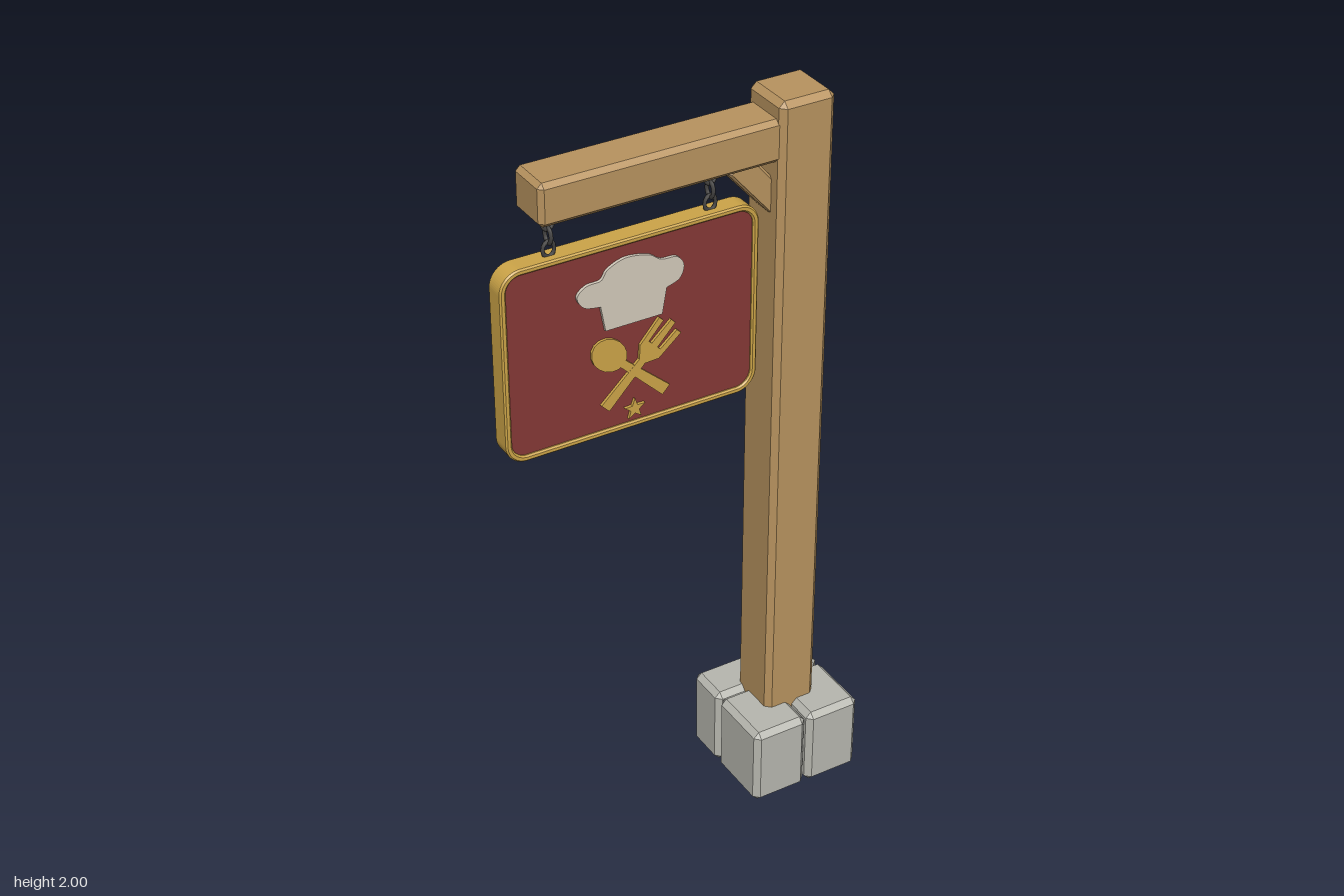
import * as THREE from 'three';
import { ConvexGeometry } from 'three/addons/geometries/ConvexGeometry.js';

const material = (name, color) => {
  const m = new THREE.MeshStandardMaterial({ color });
  m.name = name;
  return m;
};

// Box given by its limits, with every edge cut at 45 degrees
function chamferBox([x0, x1], [y0, y1], [z0, z1], c) {
  const points = [];
  for (const sx of [0, 1]) for (const sy of [0, 1]) for (const sz of [0, 1]) {
    for (let axis = 0; axis < 3; axis++) {
      const inset = (a, b, s, i) => (s ? b - (i === axis ? 0 : c) : a + (i === axis ? 0 : c));
      points.push(new THREE.Vector3(inset(x0, x1, sx, 0), inset(y0, y1, sy, 1), inset(z0, z1, sz, 2)));
    }
  }
  return new ConvexGeometry(points);
}

// Traces a rounded rectangle on a Shape or Path
function roundedRect(path, x0, x1, y0, y1, r) {
  path.absarc(x1 - r, y0 + r, r, -Math.PI / 2, 0);
  path.absarc(x1 - r, y1 - r, r, 0, Math.PI / 2);
  path.absarc(x0 + r, y1 - r, r, Math.PI / 2, Math.PI);
  path.absarc(x0 + r, y0 + r, r, Math.PI, Math.PI * 1.5);
  path.closePath();
  return path;
}

function plate(shape, z0, z1, bevel = 0) {
  const geometry = new THREE.ExtrudeGeometry(shape, {
    depth: z1 - z0 - 2 * bevel, curveSegments: 8, bevelEnabled: bevel > 0,
    bevelThickness: bevel, bevelSize: bevel, bevelOffset: -bevel, bevelSegments: 1,
  });
  return geometry.translate(0, 0, z0 + bevel);
}

const polygon = (points) => new THREE.Shape(points.map(([x, y]) => new THREE.Vector2(x, y)));

export function createModel() {
  const wood = material('wood', 0xb8935f);
  const stone = material('stone', 0xb7b7af);
  const red = material('red panel', 0x853836);
  const gold = material('gold', 0xcda548);
  const cream = material('cream', 0xd3cabb);
  const iron = material('dark iron', 0x454443);

  const model = new THREE.Group();
  model.name = 'hangingSign';
  const add = (name, geometry, mat, parent = model) => {
    const mesh = new THREE.Mesh(geometry, mat);
    mesh.name = name;
    parent.add(mesh);
    return mesh;
  };

  // Stone footing: one wide block behind, two in front
  add('backStone', chamferBox([0.15, 0.47], [0, 0.23], [-0.16, -0.035], 0.015), stone);
  add('frontRightStone', chamferBox([0.15, 0.307], [0, 0.23], [-0.031, 0.16], 0.015), stone);
  add('frontLeftStone', chamferBox([0.313, 0.47], [0, 0.23], [-0.031, 0.16], 0.015), stone);

  // Timber post, arm and diagonal brace
  add('post', chamferBox([0.235, 0.385], [0.1, 2], [-0.075, 0.075], 0.015), wood);
  add('arm', chamferBox([-0.385, 0.26], [1.845, 1.955], [-0.062, 0.062], 0.012), wood);
  const brace = polygon([[0.12, 1.832], [0.245, 1.692], [0.245, 1.79], [0.195, 1.85], [0.136, 1.85]]);
  add('brace', plate(brace, -0.035, 0.035, 0.006), wood);

  // Chains of three links, alternately turned
  for (const [i, x] of [-0.335, 0.09].entries()) {
    const chain = new THREE.Group();
    chain.name = i ? 'leftChain' : 'rightChain';
    model.add(chain);
    for (let k = 0; k < 3; k++) {
      const link = add('link', new THREE.TorusGeometry(0.015, 0.005, 6, 14), iron, chain);
      link.scale.y = 1.3;
      link.position.set(x, 1.826 - k * 0.035, 0);
      link.rotation.y = k % 2 ? Math.PI / 2 : 0;
    }
  }

  // Sign board: gold rim around a slightly sunken panel
  const rim = roundedRect(new THREE.Shape(), -0.475, 0.21, 1.225, 1.74, 0.055);
  rim.holes.push(roundedRect(new THREE.Path(), -0.459, 0.194, 1.241, 1.724, 0.04));
  add('signRim', plate(rim, -0.029, 0.027, 0.004), gold);
  const panel = roundedRect(new THREE.Shape(), -0.466, 0.201, 1.234, 1.731, 0.046);
  add('signPanel', plate(panel, -0.022, 0.02), red);

  // Chef hat: tapered band under a puffy crown
  const hat = new THREE.Shape();
  hat.moveTo(-0.207, 1.515);
  hat.lineTo(-0.055, 1.515);
  hat.lineTo(-0.043, 1.583);
  hat.splineThru([[-0.008, 1.597], [0.004, 1.63], [-0.015, 1.657], [-0.057, 1.662],
    [-0.09, 1.683], [-0.15, 1.693], [-0.198, 1.676], [-0.217, 1.652], [-0.255, 1.648],
    [-0.28, 1.625], [-0.262, 1.593], [-0.219, 1.583]].map(([x, y]) => new THREE.Vector2(x, y)));
  hat.closePath();
  add('chefHat', plate(hat, 0.019, 0.028), cream);

  // Crossed spoon and fork, drawn upright from the handle end
  const cutlery = (name, shapes, x, y, angle, z) => {
    const group = new THREE.Group();
    group.name = name;
    group.position.set(x, y, z);
    group.rotation.z = angle;
    model.add(group);
    shapes.forEach(([part, shape]) => add(part, plate(shape, 0, 0.008), gold, group));
  };
  const bowl = new THREE.Shape();
  bowl.absellipse(0, 0.209, 0.041, 0.053, 0, Math.PI * 2);
  const handle = polygon([[-0.015, 0], [0.015, 0], [0.01, 0.17], [-0.01, 0.17]]);
  const forkHead = polygon([[-0.009, 0.14], [0.009, 0.14], [0.036, 0.17], [0.042, 0.25], [0.026, 0.25],
    [0.022, 0.19], [0.011, 0.19], [0.008, 0.262], [-0.008, 0.262], [-0.011, 0.19], [-0.022, 0.19],
    [-0.026, 0.25], [-0.042, 0.25], [-0.036, 0.17]]);
  cutlery('spoon', [['spoonBowl', bowl], ['spoonHandle', handle]], -0.045, 1.302, 0.82, 0.019);
  cutlery('fork', [['forkHead', forkHead], ['forkHandle', handle]], -0.211, 1.302, -0.79, 0.0195);

  // Small five-pointed star
  const star = polygon(Array.from({ length: 10 }, (_, i) => {
    const r = i % 2 ? 0.012 : 0.029, a = Math.PI / 2 + (i * Math.PI) / 5;
    return [-0.131 + r * Math.cos(a), 1.276 + r * Math.sin(a)];
  }));
  add('star', plate(star, 0.019, 0.028), gold);

  return model;
}
